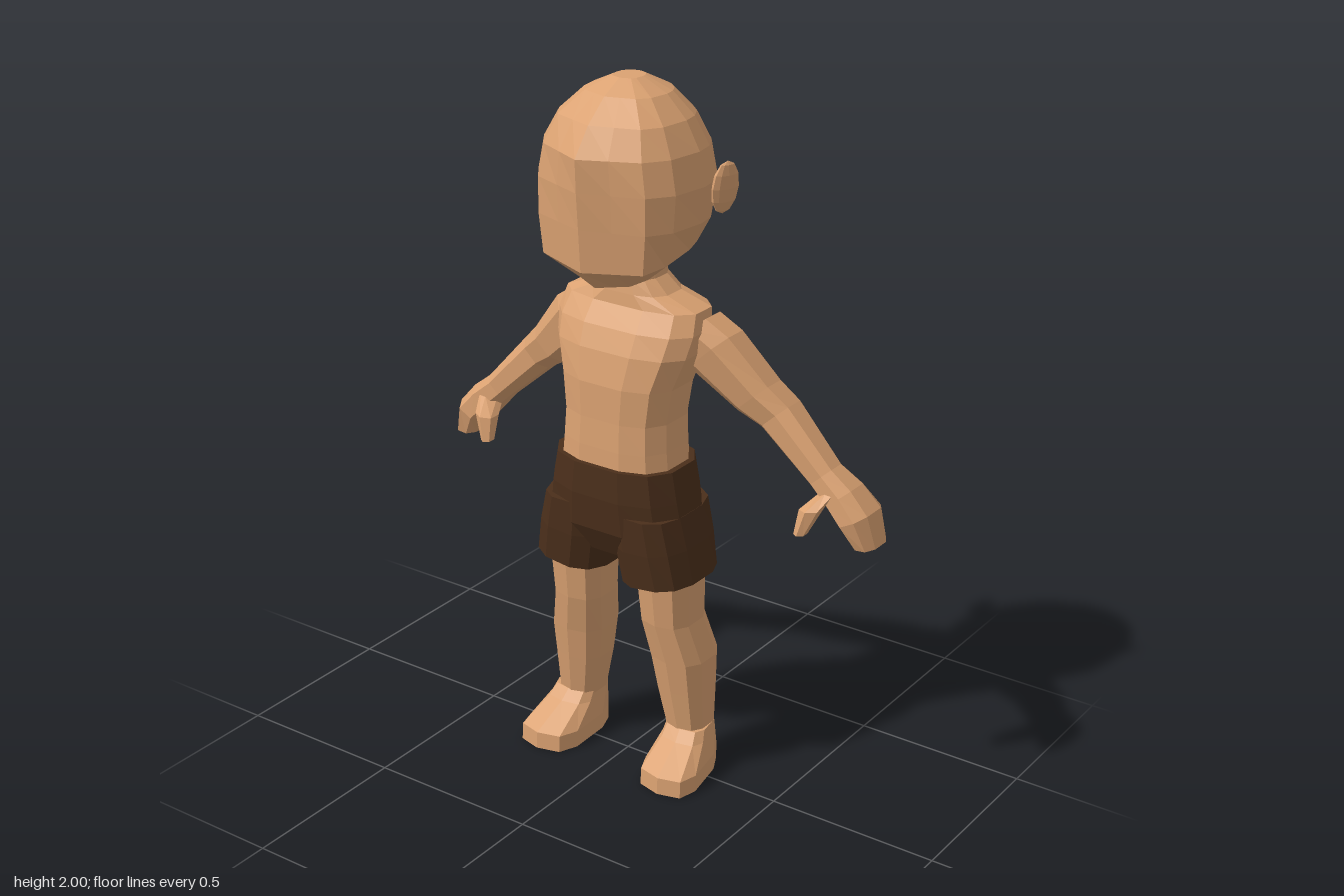
import * as THREE from 'three';

// Point ring around a centre: u lies in the xy plane (turned by angle), v along z.
function ring([x, y, z, ru, rv, angle = 0], n = 10, power = 0.75) {
  const soft = (s) => Math.sign(s) * Math.abs(s) ** power;
  return Array.from({ length: n }, (_, i) => {
    const a = ((i + 0.5) / n) * Math.PI * 2;
    const u = ru * soft(Math.cos(a));
    return new THREE.Vector3(x + u * Math.cos(angle), y + u * Math.sin(angle), z + rv * soft(Math.sin(a)));
  });
}

// Skin a list of rings, ordered top to bottom, and close both ends.
function loft(rings, side = 1) {
  if (side < 0) {
    rings = rings.map((r) => r.map((p) => new THREE.Vector3(-p.x, p.y, p.z)).reverse());
  }
  const n = rings[0].length, pos = [], index = [];
  rings.forEach((r) => r.forEach((p) => pos.push(p.x, p.y, p.z)));
  for (let i = 0; i < rings.length - 1; i++) {
    for (let j = 0; j < n; j++) {
      const k = (j + 1) % n, a = i * n + j, b = i * n + k;
      index.push(a, b, a + n, b, b + n, a + n);
    }
  }
  const last = (rings.length - 1) * n;
  for (let j = 1; j < n - 1; j++) {
    index.push(0, j + 1, j, last, last + j, last + j + 1);
  }
  const g = new THREE.BufferGeometry();
  g.setAttribute('position', new THREE.Float32BufferAttribute(pos, 3));
  g.setIndex(index);
  g.computeVertexNormals();
  return g;
}

// Head ring: round back, cheeks, flat face planes meeting in a central ridge.
function headRing([y, w, back, cornerX, cornerZ, ridge, tilt = 0]) {
  const mid = -0.01, half = [];
  for (let i = 0; i <= 5; i++) {
    const a = (i / 5) * Math.PI / 2;
    half.push([w * Math.sin(a), mid + (back - mid) * Math.cos(a)]);
  }
  half.push([w * 0.6 + cornerX * 0.4 + w * 0.04, cornerZ * 0.6]);
  half.push([cornerX, cornerZ], [cornerX / 2, (cornerZ + ridge) / 2], [0, ridge]);
  const other = half.slice(1, -1).reverse().map(([x, z]) => [-x, z]);
  return [...half, ...other].map(([x, z]) => new THREE.Vector3(x, y - tilt * z, z));
}

export function createModel() {
  const model = new THREE.Group();
  const skin = new THREE.MeshStandardMaterial({ color: 0xdba272, flatShading: true });
  skin.name = 'skin';
  const cloth = new THREE.MeshStandardMaterial({ color: 0x4b2f1b, flatShading: true });
  cloth.name = 'brown cloth';

  const add = (name, geometry, material) => {
    const mesh = new THREE.Mesh(geometry, material);
    mesh.name = name;
    model.add(mesh);
    return mesh;
  };

  // Head
  add('head', loft([
    [2.0, 0.04, -0.05, 0.03, 0.03, 0.04],
    [1.965, 0.115, -0.12, 0.08, 0.08, 0.105],
    [1.905, 0.175, -0.175, 0.13, 0.13, 0.175],
    [1.83, 0.217, -0.207, 0.155, 0.16, 0.233],
    [1.74, 0.235, -0.22, 0.17, 0.165, 0.229],
    [1.64, 0.225, -0.205, 0.17, 0.165, 0.221],
    [1.56, 0.19, -0.16, 0.16, 0.16, 0.212, 0.18],
    [1.5, 0.12, -0.09, 0.085, 0.11, 0.15, 0.25],
  ].map(headRing)), skin);

  // Neck and torso
  add('torso', loft([
    [0, 1.55, -0.03, 0.08, 0.065],
    [0, 1.46, -0.035, 0.085, 0.072],
    [0, 1.42, -0.04, 0.125, 0.085],
    [0, 1.385, -0.05, 0.215, 0.1],
    [0, 1.33, -0.03, 0.225, 0.118],
    [0, 1.27, -0.012, 0.215, 0.125],
    [0, 1.18, 0, 0.182, 0.132],
    [0, 1.08, 0.005, 0.168, 0.13],
    [0, 1.0, 0.008, 0.172, 0.132],
    [0, 0.92, 0.01, 0.18, 0.132],
  ].map((r) => ring(r, 12, 0.72))), skin);

  // Shorts body
  add('shortsBody', loft([
    [0, 0.95, 0.01, 0.195, 0.146],
    [0, 0.86, 0.008, 0.212, 0.153],
    [0, 0.76, 0.004, 0.23, 0.15],
    [0, 0.68, 0.004, 0.13, 0.11],
  ].map((r) => ring(r, 12, 0.75))), cloth);

  for (const side of [1, -1]) {
    const label = side > 0 ? 'left' : 'right';
    const part = (name, rows, n, power) =>
      add(label + name, loft(rows.map((r) => ring(r, n, power)), side), skin);

    // Ear
    const ear = add(label + 'Ear', new THREE.SphereGeometry(1, 10, 6), skin);
    ear.scale.set(0.015, 0.075, 0.042);
    ear.position.set(0.243 * side, 1.72, -0.09);
    ear.rotation.set(0, -0.4 * side, -0.15 * side);

    // Arm with mitten hand
    part('Arm', [
      [0.16, 1.31, -0.08, 0.085, 0.075, 0.75],
      [0.222, 1.265, -0.093, 0.088, 0.075, 0.75],
      [0.34, 1.15, -0.125, 0.068, 0.07, 0.75],
      [0.4, 1.105, -0.142, 0.058, 0.066, 0.75],
      [0.545, 0.965, -0.142, 0.045, 0.055, 0.75],
      [0.6, 0.917, -0.15, 0.05, 0.068, 0.7],
      [0.648, 0.865, -0.155, 0.05, 0.078, 0.5],
      [0.68, 0.79, -0.16, 0.033, 0.06, 0.1],
    ], 8, 0.8);

    // Thumb
    part('Thumb', [
      [0.575, 0.935, -0.12, 0.035, 0.03, 0.4],
      [0.55, 0.895, -0.065, 0.032, 0.035, 0.1],
      [0.532, 0.825, -0.042, 0.017, 0.022],
    ], 6, 0.9);

    // Leg
    part('Leg', [
      [0.147, 0.67, 0.005, 0.09, 0.1],
      [0.15, 0.48, -0.006, 0.08, 0.09],
      [0.172, 0.36, -0.032, 0.086, 0.093],
      [0.178, 0.26, -0.038, 0.077, 0.083],
      [0.189, 0.13, -0.043, 0.062, 0.067],
    ], 10, 0.75);

    // Foot, narrower at the heel and turned slightly outwards
    const foot = [
      [0.195, 0.14, -0.043, 0.066, 0.068],
      [0.197, 0.11, -0.03, 0.07, 0.083],
      [0.2, 0.05, 0.02, 0.08, 0.137],
      [0.2, 0, 0.022, 0.08, 0.138],
    ].map((r) => ring(r, 10, 0.65));
    foot.flat().forEach((p) => {
      p.x = 0.2 + (p.x - 0.2) * (1 + 1.3 * p.z) + 0.08 * p.z;
    });
    add(label + 'Foot', loft(foot, side), skin);

    // Shorts leg with slanted hem
    add(label + 'ShortsLeg', loft([
      [0.115, 0.82, 0.006, 0.102, 0.148],
      [0.128, 0.72, 0.006, 0.113, 0.145, 0.08],
      [0.146, 0.615, 0.005, 0.113, 0.135, 0.12],
    ].map((r) => ring(r, 12, 0.75)), side), cloth);
  }
  return model;
}
